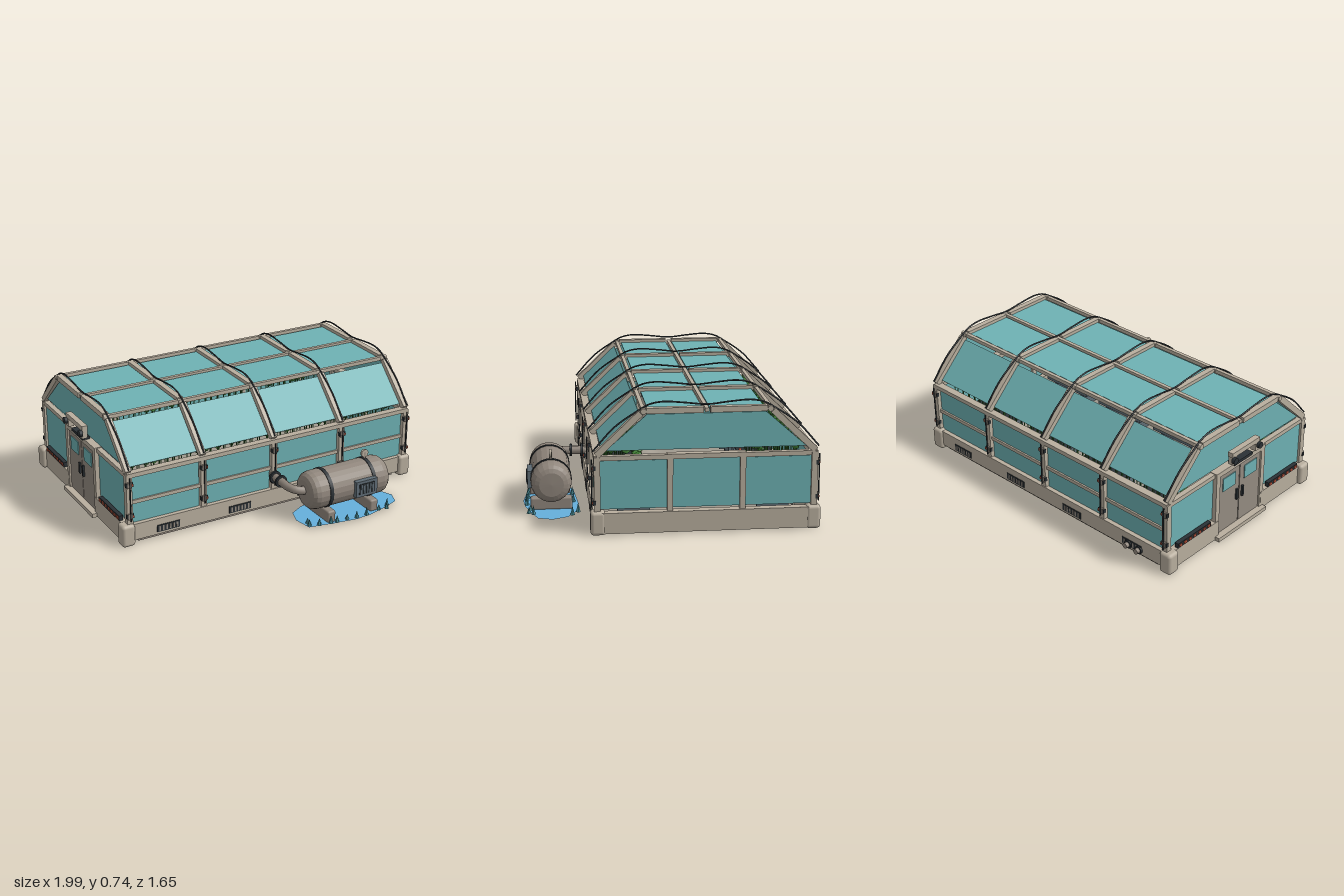
import * as THREE from 'three';
import { RoundedBoxGeometry } from 'three/addons/geometries/RoundedBoxGeometry.js';

const mat = (name, color, side = THREE.FrontSide) => {
  const m = new THREE.MeshStandardMaterial({ color, side });
  m.name = name;
  return m;
};

export function createModel() {
  const frame = mat('frame beige', 0xb9af9f), glass = mat('teal glass', 0x6eb2b4, THREE.DoubleSide);
  const dark = mat('dark metal', 0x2b3135), tankGrey = mat('tank grey', 0x91877d);
  const doorGrey = mat('door grey', 0x958c82), bedGrey = mat('planter grey', 0x5f6c75);
  const green = mat('leaf green', 0x3f7d34), red = mat('signal red', 0xb5533c);
  const water = mat('water blue', 0x66b0dc, THREE.DoubleSide), crystal = mat('crystal teal', 0x478c96);

  const root = new THREE.Group();
  root.name = 'greenhouse';
  const C = -0.175; // z of the building's centre line
  const ribs = [-0.92, -0.45, 0.02, 0.49, 0.96];
  const bays = [-0.685, -0.215, 0.255, 0.725];
  let seed = 7;
  const rnd = () => (seed = (seed * 16807) % 2147483647) / 2147483647;

  const add = (name, geo, m, x = 0, y = 0, z = 0) => {
    const mesh = new THREE.Mesh(geo, m);
    mesh.name = name;
    mesh.position.set(x, y, z);
    root.add(mesh);
    return mesh;
  };
  // Box given by its extents on each axis
  const box = (name, m, x0, x1, y0, y1, z0, z1) =>
    add(name, new THREE.BoxGeometry(x1 - x0, y1 - y0, z1 - z0), m, (x0 + x1) / 2, (y0 + y1) / 2, (z0 + z1) / 2);
  // Bar of width w and thickness t running between two (z, y) points
  const bar = (name, m, x, w, t, z0, y0, z1, y1) => {
    const mesh = add(name, new THREE.BoxGeometry(w, t, Math.hypot(z1 - z0, y1 - y0)), m, x, (y0 + y1) / 2, (z0 + z1) / 2);
    mesh.rotation.x = -Math.atan2(y1 - y0, z1 - z0);
    return mesh;
  };
  const tube = (name, m, pts, r, seg = 40) =>
    add(name, new THREE.TubeGeometry(new THREE.CatmullRomCurve3(pts.map(p => new THREE.Vector3(...p))), seg, r, 8), m);
  const flat = g => {
    const n = g.index ? g.toNonIndexed() : g;
    n.computeVertexNormals();
    return n;
  };
  const cyl = (name, m, r, h, axis, x, y, z, n = 16) => {
    const mesh = add(name, new THREE.CylinderGeometry(r, r, h, n), m, x, y, z);
    if (axis === 'x') mesh.rotation.z = Math.PI / 2;
    if (axis === 'z') mesh.rotation.x = Math.PI / 2;
    return mesh;
  };

  // Long sides, mirrored about the centre line
  for (const s of [1, -1]) {
    const Z = d => C + s * d;
    const sideBox = (name, m, x0, x1, y0, y1, d0, d1) =>
      box(name, m, x0, x1, y0, y1, Math.min(Z(d0), Z(d1)), Math.max(Z(d0), Z(d1)));
    sideBox('baseSill', frame, -0.92, 0.94, 0.03, 0.13, 0.56, 0.62);
    sideBox('baseSkid', tankGrey, -0.87, 0.88, 0.012, 0.03, 0.55, 0.605);
    for (const x of [-0.937, 0.955])
      add('baseCorner', new RoundedBoxGeometry(0.082, 0.135, 0.082, 3, 0.02), frame, x, 0.0685, Z(0.595));

    sideBox('eaveBeam', frame, -0.93, 0.97, 0.42, 0.446, 0.57, 0.615);
    sideBox('wallRail', frame, -0.92, 0.96, 0.25, 0.272, 0.585, 0.603);
    sideBox('shoulderPurlin', frame, -0.93, 0.97, 0.68, 0.703, 0.335, 0.357);

    for (const x of bays) {
      sideBox('wallGlass', glass, x - 0.213, x + 0.213, 0.13, 0.415, 0.585, 0.593);
      bar('slopeGlass', glass, x, 0.425, 0.008, Z(0.57), 0.465, Z(0.363), 0.665);
      sideBox('roofGlass', glass, x - 0.213, x + 0.213, 0.682, 0.69, 0.02, 0.318);
      // Base ventilation grilles
      sideBox('ventPanel', dark, x - 0.073, x + 0.073, 0.045, 0.088, 0.618, 0.624);
      for (let i = 0; i < 6; i++)
        sideBox('ventSlat', doorGrey, x - 0.06 + i * 0.022, x - 0.05 + i * 0.022, 0.051, 0.082, 0.622, 0.626);

      // Low planting bed with legs and tall crop
      sideBox('plantingBed', bedGrey, x - 0.18, x + 0.18, 0.13, 0.23, 0.28, 0.51);
      sideBox('bedSoil', dark, x - 0.17, x + 0.17, 0.23, 0.236, 0.29, 0.5);
      for (const dx of [-0.12, 0.12])
        sideBox('bedLeg', bedGrey, x + dx - 0.012, x + dx + 0.012, 0.03, 0.13, 0.3, 0.48);
      for (let i = 0; i < 9; i++) for (const [d, h] of [[0.335, 0.36], [0.43, 0.455], [0.5, 0.45]]) {
        const px = x - 0.18 + i * 0.045, py = h + rnd() * 0.015;
        const leaf = add('leaves', flat(new THREE.IcosahedronGeometry(0.029, 0)), green, px, py, Z(d + rnd() * 0.02));
        leaf.scale.set(1, 0.45, 1);
        leaf.rotation.set(rnd(), rnd() * 6, rnd());
        cyl('stem', green, 0.003, py - 0.23, 'y', px, (py + 0.23) / 2, leaf.position.z, 5);
        if (i % 3 === 1) add('fruit', new THREE.IcosahedronGeometry(0.01, 1), red, px + 0.015, 0.26, Z(0.3));
      }
    }
    for (const x of ribs) {
      sideBox('wallPost', frame, x - 0.018, x + 0.018, 0.12, 0.44, 0.58, 0.615);
      bar('slopeRib', frame, x, 0.036, 0.035, Z(0.6), 0.45, Z(0.36), 0.68);
      sideBox('roofRib', frame, x - 0.018, x + 0.018, 0.675, 0.707, 0.018, 0.33);
      cyl('ribJoint', frame, 0.016, 0.045, 'x', x, 0.69, Z(0.345));
      // Wall conduit with clamps
      cyl('wallConduit', dark, 0.004, 0.27, 'y', x, 0.29, Z(0.626), 8);
      for (const y of [0.185, 0.38]) {
        sideBox('conduitClamp', dark, x - 0.022, x + 0.022, y - 0.012, y + 0.012, 0.605, 0.622);
        sideBox('clampPlate', tankGrey, x - 0.014, x + 0.01, y - 0.018, y + 0.018, 0.612, 0.625);
        sideBox('clampLight', red, x + 0.013, x + 0.021, y - 0.006, y + 0.006, 0.615, 0.626);
      }
    }
  }
  box('ridgePurlin', frame, -0.93, 0.97, 0.678, 0.7, C - 0.011, C + 0.011);

  // Slack cables over every rib
  const cable = [[0.62, 0.47], [0.5, 0.603], [0.375, 0.69], [0.315, 0.724], [0.24, 0.738], [0.12, 0.73]];
  for (const x of ribs) tube('roofCable', dark, [
    ...cable.map(([d, y]) => [x, y, C + d]), [x, 0.718, C],
    ...cable.slice().reverse().map(([d, y]) => [x, y, C - d])], 0.0048, 60);

  // Gable ends
  const gable = new THREE.Shape([[-0.55, 0.472], [0.55, 0.472], [0.325, 0.67], [-0.325, 0.67]].map(p => new THREE.Vector2(...p)));
  for (const [x, s] of [[0.96, 1], [-0.92, -1]]) {
    const g = new THREE.ExtrudeGeometry(gable, { depth: 0.008, bevelEnabled: false });
    g.rotateY(-Math.PI / 2);
    add('gableGlass', g, glass, x + 0.004, 0, C);
    box('gableBeam', frame, x - 0.016, x + 0.016, 0.42, 0.446, C - 0.6, C + 0.6);
    for (const t of [1, -1]) {
      box('gablePost', frame, x - 0.02, x + 0.02, 0.12, 0.45, C + t * 0.2 - 0.016, C + t * 0.2 + 0.016);
      box('gableSideGlass', glass, x - 0.004, x + 0.004, 0.143, 0.416, C + t * 0.398 - 0.183, C + t * 0.398 + 0.183);
      box('endSill', frame, x + s * 0.008 - 0.024, x + s * 0.008 + 0.024, 0.01, 0.128,
        C + t * 0.385 - 0.19, C + t * 0.385 + 0.19);
    }
  }
  box('endSillMiddle', frame, 0.944, 0.992, 0.01, 0.128, C - 0.2, C + 0.2);
  box('endMiddleGlass', glass, 0.956, 0.964, 0.143, 0.418, C - 0.185, C + 0.185);
  box('endMiddleHeader', frame, 0.938, 0.982, 0.425, 0.45, C - 0.215, C + 0.215);

  // Double door on the right-hand end
  box('doorHeader', frame, -0.95, -0.9, 0.42, 0.45, C - 0.215, C + 0.215);
  box('doorStep', frame, -0.98, -0.9, 0.005, 0.03, C - 0.215, C + 0.215);
  for (const t of [1, -1]) {
    box('doorJamb', frame, -0.95, -0.9, 0.005, 0.45, C + t * 0.2 - 0.016, C + t * 0.2 + 0.016);
    box('doorLeaf', doorGrey, -0.94, -0.91, 0.03, 0.42, C + t * 0.093 - 0.09, C + t * 0.093 + 0.09);
    box('doorWindow', glass, -0.945, -0.939, 0.3, 0.385, C + t * 0.095 - 0.055, C + t * 0.095 + 0.055);
    box('doorHandle', dark, -0.952, -0.939, 0.19, 0.26, C + t * 0.025 - 0.007, C + t * 0.025 + 0.007);
    // Indicator strips beside the door
    box('indicatorStrip', dark, -0.955, -0.93, 0.13, 0.16, C + t * 0.4 - 0.14, C + t * 0.4 + 0.14);
    for (let i = 0; i < 7; i++) {
      const z = C + t * 0.4 - 0.12 + i * 0.04;
      box('indicatorLight', red, -0.959, -0.95, 0.137, 0.153, z - 0.011, z + 0.011);
    }
    box('lampArm', frame, -0.98, -0.945, 0.475, 0.535, C + t * 0.1 - 0.015, C + t * 0.1 + 0.015);
    cyl('doorLamp', dark, 0.02, 0.02, 'x', -0.988, 0.51, C + t * 0.11, 12);
  }
  box('lampHousing', frame, -0.98, -0.945, 0.525, 0.555, C - 0.12, C + 0.12);
  box('lampBase', dark, -0.965, -0.915, 0.45, 0.468, C - 0.08, C + 0.08);

  // Service couplings on the back sill
  for (const x of [-0.74, -0.66]) {
    cyl('servicePipe', tankGrey, 0.016, 0.045, 'z', x, 0.06, -0.805);
    cyl('serviceFlange', dark, 0.025, 0.012, 'z', x, 0.06, -0.8);
  }

  // Water tank
  const TY = 0.187, TZ = 0.66;
  const profile = [[0, -0.275], [0.07, -0.272], [0.094, -0.262], [0.109, -0.245], [0.116, -0.22],
    [0.116, 0.22], [0.109, 0.245], [0.094, 0.262], [0.07, 0.272], [0, 0.275]].map(p => new THREE.Vector2(...p));
  const tankGeo = flat(new THREE.LatheGeometry(profile, 22));
  tankGeo.rotateZ(-Math.PI / 2);
  add('tank', tankGeo, tankGrey, 0.36, TY, TZ);
  for (const x of [0.21, 0.507]) {
    cyl('tankBand', dark, 0.12, 0.022, 'x', x, TY, TZ, 22);
    add('tankFoot', new RoundedBoxGeometry(0.055, 0.075, 0.24, 2, 0.012), tankGrey, x, 0.045, TZ);
  }
  box('controlPanel', bedGrey, 0.365, 0.512, 0.135, 0.235, 0.74, 0.795);
  box('controlGrille', dark, 0.385, 0.493, 0.152, 0.218, 0.794, 0.798);
  for (let i = 0; i < 5; i++)
    box('grilleSlat', bedGrey, 0.394 + i * 0.02, 0.404 + i * 0.02, 0.155, 0.215, 0.795, 0.801);
  cyl('valveStem', tankGrey, 0.008, 0.06, 'y', 0.505, 0.32, TZ, 8);
  cyl('valveWheel', frame, 0.024, 0.014, 'z', 0.505, 0.34, TZ, 12);

  // Feed pipe from the tank to the wall
  tube('feedPipe', tankGrey, [[0.11, 0.195, TZ], [0.07, 0.2, TZ], [0.035, 0.208, 0.645], [0.016, 0.213, 0.61],
    [0.014, 0.215, 0.54], [0.014, 0.215, 0.43]], 0.026, 30);
  for (const z of [0.46, 0.525]) cyl('pipeFlange', dark, 0.038, 0.014, 'z', 0.014, 0.215, z);

  // Pool with crystals around its rim
  const rim = [[0.04, 0.66], [0.07, 0.57], [0.16, 0.52], [0.3, 0.51], [0.45, 0.5], [0.58, 0.515], [0.68, 0.57],
    [0.72, 0.66], [0.69, 0.74], [0.58, 0.78], [0.47, 0.81], [0.36, 0.82], [0.22, 0.8], [0.06, 0.77]];
  const poolGeo = new THREE.ShapeGeometry(new THREE.Shape(rim.map(([x, z]) => new THREE.Vector2(x, -z))));
  poolGeo.rotateX(-Math.PI / 2);
  add('pool', poolGeo, water, 0, 0.012, 0);
  const spots = [[0.08, 0.72], [0.075, 0.75], [0.13, 0.77], [0.2, 0.785], [0.24, 0.79], [0.31, 0.79], [0.37, 0.8],
    [0.44, 0.8], [0.54, 0.78], [0.59, 0.79], [0.61, 0.765], [0.59, 0.51], [0.64, 0.545], [0.26, 0.53], [0.4, 0.53]];
  for (const [x, z] of spots) {
    const h = 0.035 + rnd() * 0.022;
    add('crystal', flat(new THREE.ConeGeometry(0.014, h, 5)), crystal, x, 0.01 + h / 2, z).rotation.y = rnd() * 3;
  }
  return root;
}
